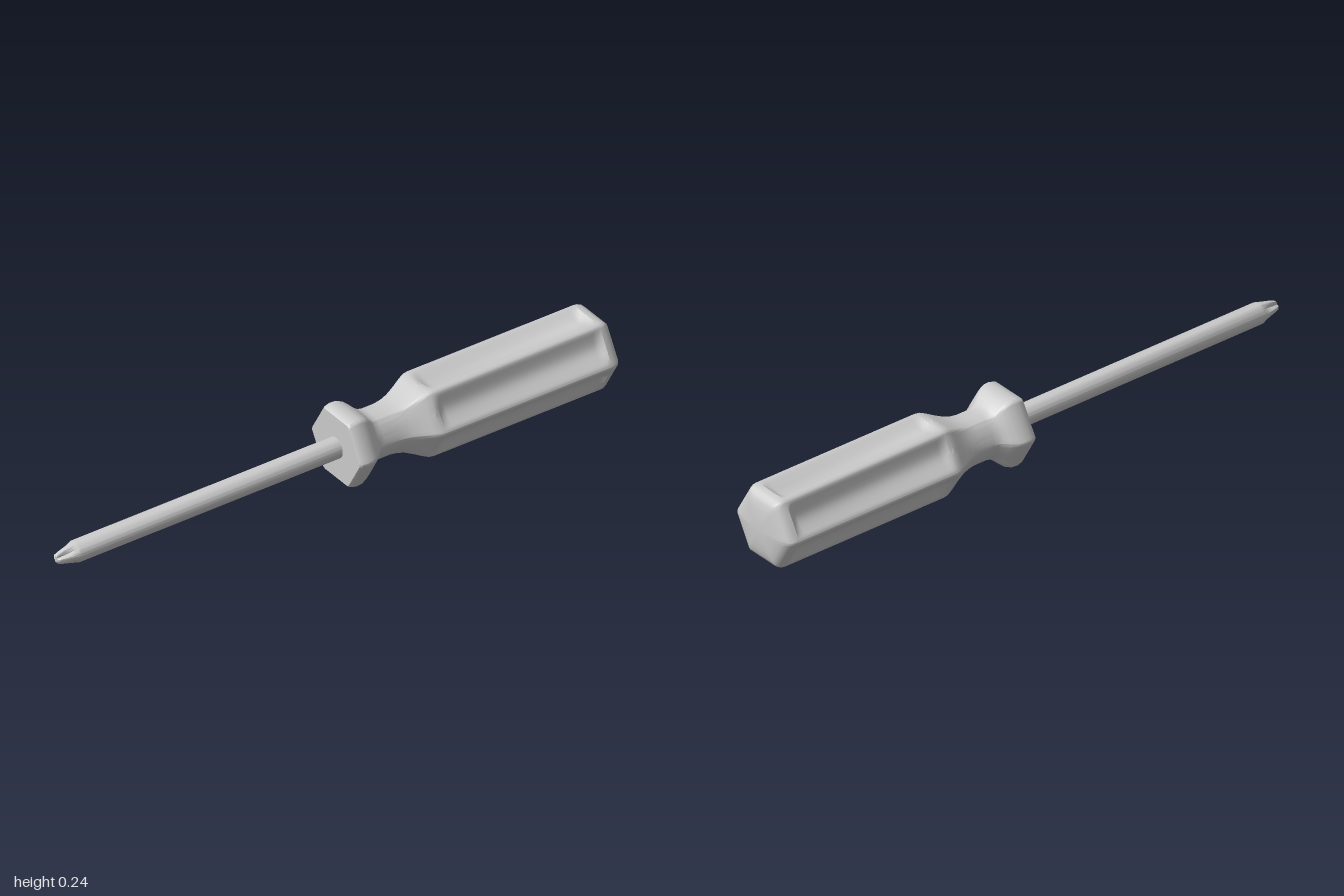
import * as THREE from 'three';
import { toCreasedNormals } from 'three/addons/utils/BufferGeometryUtils.js';

const AXIS_Y = 0.118;
const RAD = Math.PI / 180;
const material = new THREE.MeshStandardMaterial({ color: 0xcccccc });

// Skin along x: stations run from -x to +x, radiusAt(station, angle in degrees)
// gives the outline, and angles start at +z and turn towards +y.
function loft(name, stations, angles, radiusAt, crease) {
  const pos = [], index = [], n = angles.length;
  for (const s of stations) {
    for (const a of angles) {
      const r = radiusAt(s, a);
      pos.push(s[0], AXIS_Y + r * Math.sin(a * RAD), r * Math.cos(a * RAD));
    }
  }
  for (let i = 0; i < stations.length - 1; i++) {
    for (let j = 0; j < n; j++) {
      const k = (j + 1) % n;
      const a = i * n + j, b = a + n, c = (i + 1) * n + k, d = i * n + k;
      if (stations[i + 1][1] > 0) index.push(a, b, c);
      if (stations[i][1] > 0) index.push(a, c, d);
    }
  }
  const geo = new THREE.BufferGeometry();
  geo.setAttribute('position', new THREE.Float32BufferAttribute(pos, 3));
  geo.setIndex(index);
  const mesh = new THREE.Mesh(toCreasedNormals(geo, crease), material);
  mesh.name = name;
  return mesh;
}

// Hexagonal grip with blunted corners, a rounder neck and a hollow flute in each face
function createHandle() {
  // x, apothem, roundness, flute depth
  const stations = [
    [0.03, 0, 0, 0], [0.03, 0.108, 0, 0], [0.036, 0.113, 0, 0], [0.055, 0.117, 0, 0],
    [0.075, 0.116, 0, 0], [0.095, 0.109, 0.05, 0], [0.112, 0.097, 0.2, 0],
    [0.125, 0.085, 0.4, 0], [0.138, 0.078, 0.55, 0], [0.155, 0.0755, 0.6, 0],
    [0.2, 0.0755, 0.6, 0], [0.225, 0.078, 0.5, 0], [0.25, 0.084, 0.35, 0],
    [0.28, 0.096, 0.15, 0], [0.305, 0.108, 0.05, 0], [0.325, 0.116, 0, 0],
    [0.34, 0.118, 0, 0.004], [0.352, 0.118, 0, 0.013], [0.37, 0.118, 0, 0.018],
    [0.92, 0.118, 0, 0.018], [0.937, 0.118, 0, 0.012], [0.95, 0.118, 0, 0],
    [0.963, 0.117, 0, 0], [0.975, 0.112, 0, 0], [0.984, 0.104, 0, 0],
    [0.99, 0.092, 0, 0], [0.995, 0.07, 0, 0], [0.999, 0.035, 0.2, 0], [1, 0, 0, 0],
  ];
  const half = [28.2, 26, 23, 18, 12, 6];
  const offsets = [-30, ...half.map(d => -d), 0, ...half.slice().reverse()];
  const angles = [];
  for (let face = 0; face < 6; face++) {
    for (const d of offsets) angles.push(30 + face * 60 + d);
  }
  const radiusAt = ([, apothem, round, depth], a) => {
    const d = ((a % 60) + 60) % 60 - 30;
    const hex = Math.min(apothem / Math.cos(d * RAD), apothem * 1.135);
    const body = THREE.MathUtils.lerp(hex, apothem * 1.03, round);
    return body - depth * Math.max(0, 1 - (d / 26) ** 2);
  };
  return loft('handle', stations, angles, radiusAt, 0.5);
}

// Round shaft running into a tapered cross-shaped tip
function createBlade() {
  // x, radius, notch depth as a share of the radius
  const stations = [
    [-1, 0, 0], [-1, 0.011, 0.5], [-0.995, 0.017, 0.55], [-0.975, 0.024, 0.45],
    [-0.955, 0.029, 0.27], [-0.935, 0.034, 0.06], [-0.928, 0.035, 0], [0.05, 0.035, 0],
  ];
  const angles = [];
  for (let a = 0; a < 360; a += 7.5) angles.push(a);
  const radiusAt = ([, r, notch], a) => {
    const d = Math.abs(a % 90 - 45);
    return r * (1 - notch * Math.max(0, 1 - d / 30));
  };
  return loft('shaftAndTip', stations, angles, radiusAt, 0.45);
}

export function createModel() {
  const model = new THREE.Group();
  model.name = 'screwdriver';
  model.add(createHandle(), createBlade());
  return model;
}
